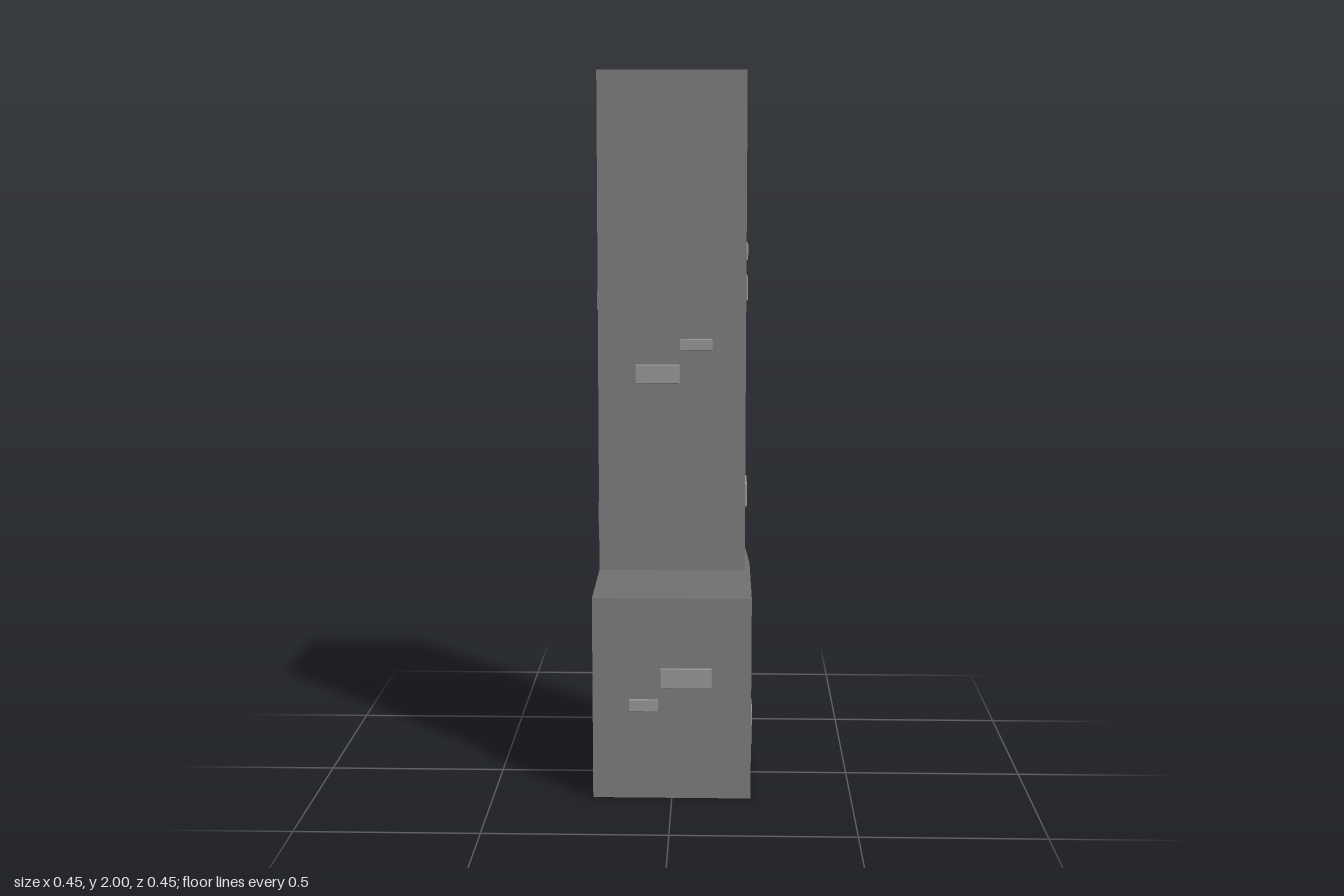
import * as THREE from 'three';

const stone = new THREE.MeshStandardMaterial({ color: 0x7a7a7a, flatShading: true, side: THREE.DoubleSide });
const paleStone = new THREE.MeshStandardMaterial({ color: 0x949494, flatShading: true });

// Thin chamfered brick, centred on its own depth
function brickGeometry(w, h, t) {
  const bevel = 0.002;
  const shape = new THREE.Shape();
  shape.moveTo(-w / 2, -h / 2);
  shape.lineTo(w / 2, -h / 2);
  shape.lineTo(w / 2, h / 2);
  shape.lineTo(-w / 2, h / 2);
  shape.closePath();
  const depth = t - 2 * bevel;
  const geo = new THREE.ExtrudeGeometry(shape, {
    depth, bevelEnabled: true, bevelThickness: bevel, bevelSize: bevel, bevelOffset: -bevel, bevelSegments: 1,
  });
  return geo.translate(0, 0, -depth / 2);
}

// Bricks per wall: [from, to, bottom, top, projection], measured along the wall's own horizontal axis
const walls = [
  { name: 'frontBricks', angle: 0, bricks: [
    [-0.10, 0.02, 1.165, 1.217, 0.006], [0.02, 0.11, 1.255, 1.287, 0.005],
    [-0.033, 0.11, 0.317, 0.374, 0.006], [-0.12, -0.038, 0.25, 0.285, 0.005]] },
  { name: 'leftBricks', angle: Math.PI / 2, bricks: [
    [-0.16, -0.055, 1.497, 1.54, 0.005], [-0.015, 0.14, 1.376, 1.438, 0.007],
    [-0.065, 0.093, 0.80, 0.863, 0.007], [-0.105, 0.013, 0.175, 0.217, 0.005],
    [0, 0.128, 0.083, 0.138, 0.006]] },
  { name: 'backBricks', angle: Math.PI, bricks: [
    [0.02, 0.148, 1.70, 1.74, 0.006], [-0.10, 0.047, 1.603, 1.656, 0.007],
    [-0.06, 0.10, 0.885, 0.947, 0.008], [-0.005, 0.154, 0.233, 0.286, 0.007],
    [-0.157, 0.033, 0.09, 0.175, 0.008]] },
  { name: 'rightBricks', angle: -Math.PI / 2, bricks: [
    [-0.045, 0.10, 1.356, 1.412, 0.009], [-0.10, 0.10, 0.757, 0.815, 0.009],
    [-0.16, -0.025, 0.678, 0.72, 0.007], [-0.005, 0.105, 0.233, 0.267, 0.006],
    [-0.113, -0.005, 0.148, 0.188, 0.005], [-0.005, 0.105, 0.045, 0.085, 0.006]] },
];

export function createModel() {
  const model = new THREE.Group();
  model.name = 'brickPillar';

  // Square shaft with a wider foot, closed on top and open underneath
  const profile = [[0.22, 0], [0.22, 0.572], [0.2, 0.647], [0.2, 2], [0, 2]]
    .map(([half, y]) => new THREE.Vector2(half * Math.SQRT2, y));
  const shaftGeometry = new THREE.LatheGeometry(profile, 4, Math.PI / 4).toNonIndexed();
  shaftGeometry.computeVertexNormals();
  const shaft = new THREE.Mesh(shaftGeometry, stone);
  shaft.name = 'shaft';
  model.add(shaft);

  // Scattered raised bricks set into each wall
  for (const { name, angle, bricks } of walls) {
    const wall = new THREE.Group();
    wall.name = name;
    wall.rotation.y = angle;
    for (const [a, b, bottom, top, out] of bricks) {
      const brick = new THREE.Mesh(brickGeometry(b - a, top - bottom, out * 2), paleStone);
      brick.name = 'brick';
      brick.position.set((a + b) / 2, (bottom + top) / 2, bottom < 0.6 ? 0.22 : 0.2);
      wall.add(brick);
    }
    model.add(wall);
  }
  return model;
}
